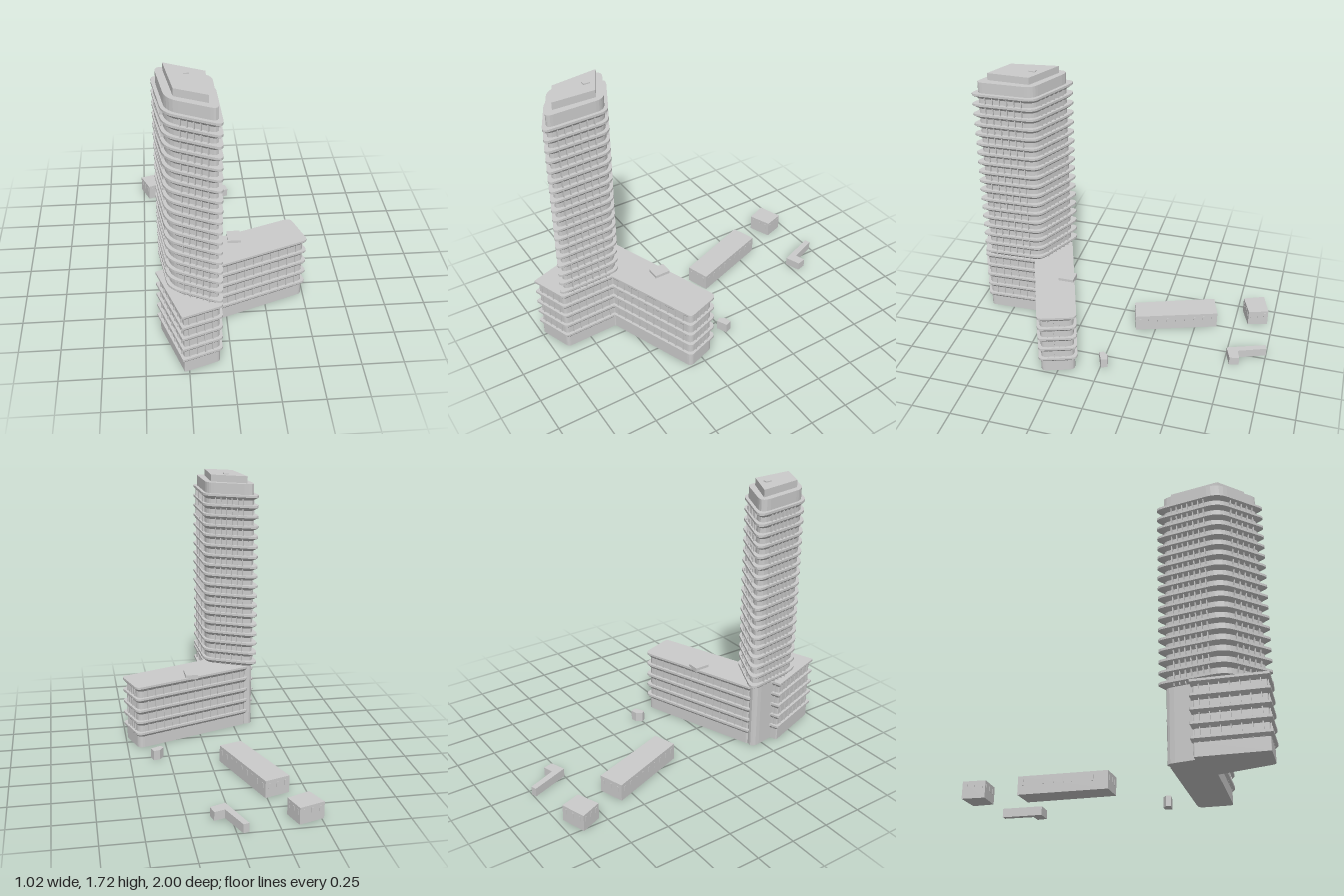
import * as THREE from 'three';
import { mergeGeometries } from 'three/addons/utils/BufferGeometryUtils.js';

const material = new THREE.MeshStandardMaterial({ color: 0xcccccc, flatShading: true });
const area = (p) => p.reduce((s, a, i) => {
  const b = p[(i + 1) % p.length];
  return s + a[0] * b[1] - b[0] * a[1];
}, 0) / 2;

// Footprints: corners as [x, z, rounding]
const TOWER = [[-0.417, 0.357, 0.085], [-0.065, 0.527, 0.05], [-0.05, 0.937, 0.05], [-0.355, 0.782, 0.07]];
const PENTHOUSE = [[-0.34, 0.455], [-0.12, 0.57], [-0.12, 0.835], [-0.295, 0.75]];
const PODIUM = [[-0.33, 0.414, 0.01], [0.425, 0.145, 0.04], [0.495, 0.348, 0.03], [-0.08, 0.565, 0.006],
  [-0.068, 0.908, 0.02], [-0.277, 0.983, 0.008], [-0.407, 0.603, 0.008], [-0.35, 0.583, 0.01]];
const OUTBUILDINGS = [
  { name: 'squareOutbuilding', h: 0.105, windows: [3, 4, 3, 4], pts: [[-0.515, -0.915], [-0.36, -0.965], [-0.32, -0.84], [-0.46, -0.785]] },
  { name: 'longOutbuilding', h: 0.11, windows: [3, 9, 3, 9], pts: [[-0.395, -0.59], [-0.24, -0.64], [-0.06, -0.125], [-0.205, -0.08]] },
  { name: 'angledShed', h: 0.055, pts: [[-0.07, -0.99], [-0.035, -1], [0.035, -0.825], [0.1, -0.845], [0.115, -0.785], [0.02, -0.75]] },
  { name: 'smallShed', h: 0.065, pts: [[0.285, 0], [0.31, -0.035], [0.35, -0.045], [0.365, -0.005], [0.3, 0.025]] },
];

// Offsets a footprint outward by d and rounds its corners
function ring(corners, d = 0) {
  const pts = area(corners) < 0 ? [...corners].reverse() : corners;
  const n = pts.length;
  const normal = (a, b) => new THREE.Vector2(b[1] - a[1], a[0] - b[0]).normalize();
  const moved = pts.map((p, i) => {
    const n1 = normal(pts[(i + n - 1) % n], p), n2 = normal(p, pts[(i + 1) % n]);
    const m = n1.clone().add(n2).multiplyScalar(d / (1 + n1.dot(n2)));
    return new THREE.Vector2(p[0] + m.x, p[1] + m.y);
  });
  const out = [];
  moved.forEach((p, i) => {
    const r = pts[i][2];
    if (!r) { out.push([p.x, p.y]); return; }
    const toward = (q) => p.clone().add(q.clone().sub(p).setLength(r));
    const curve = new THREE.QuadraticBezierCurve(toward(moved[(i + n - 1) % n]), p, toward(moved[(i + 1) % n]));
    curve.getPoints(5).forEach((v) => out.push([v.x, v.y]));
  });
  return out;
}

// Closed solid through footprint rings given as [y, offset]
function loft(corners, levels) {
  const rings = levels.map(([, d]) => ring(corners, d));
  const n = rings[0].length, pos = [], idx = [];
  rings.forEach((r, k) => r.forEach(([x, z]) => pos.push(x, levels[k][0], z)));
  for (let k = 0; k < rings.length - 1; k++) {
    for (let i = 0; i < n; i++) {
      const a = k * n + i, b = k * n + (i + 1) % n;
      idx.push(a, a + n, b + n, a, b + n, b);
    }
  }
  const last = (rings.length - 1) * n;
  const caps = [[0, rings[0], true], [last, rings[rings.length - 1], false]];
  for (const [base, r, down] of caps) {
    for (const [a, b, c] of THREE.ShapeUtils.triangulateShape(r.map((p) => new THREE.Vector2(...p)), [])) {
      const positive = area([r[a], r[b], r[c]]) > 0;
      if (positive === down) idx.push(base + a, base + b, base + c);
      else idx.push(base + a, base + c, base + b);
    }
  }
  const g = new THREE.BufferGeometry();
  g.setAttribute('position', new THREE.Float32BufferAttribute(pos, 3));
  g.setIndex(idx);
  const flat = g.toNonIndexed();
  flat.computeVertexNormals();
  return flat;
}

// Thin boxes set along each footprint edge; count(length, edge) gives how many
function edgeBoxes(corners, y0, y1, width, depth, count) {
  const pts = area(corners) < 0 ? [...corners].reverse() : corners;
  const boxes = [];
  pts.forEach((a, i) => {
    const b = pts[(i + 1) % pts.length];
    const dx = b[0] - a[0], dz = b[1] - a[1];
    const ra = a[2] || 0, rb = b[2] || 0, len = Math.hypot(dx, dz);
    const num = count(len, i);
    for (let k = 0; k < num; k++) {
      const t = (ra + (len - ra - rb) * (k + 0.5) / num) / len;
      const g = new THREE.BoxGeometry(width, y1 - y0, depth);
      g.rotateY(-Math.atan2(dz, dx));
      g.translate(a[0] + dx * t, (y0 + y1) / 2, a[1] + dz * t);
      boxes.push(g);
    }
  });
  return mergeGeometries(boxes);
}

export function createModel() {
  const model = new THREE.Group();
  const add = (name, geometry, parent = model) => {
    const mesh = new THREE.Mesh(geometry, material);
    mesh.name = name;
    parent.add(mesh);
    return mesh;
  };
  const group = (name) => {
    const g = new THREE.Group();
    g.name = name;
    model.add(g);
    return g;
  };
  const box = (name, w, h, d, x, y, z, parent) =>
    add(name, new THREE.BoxGeometry(w, h, d), parent).position.set(x, y, z);

  // Stacked floor bands with a vertical lip and a sloping underside
  const bands = (name, corners, inner, outer, top, pitch, count, parent) => {
    const g = loft(corners, [[-0.036, inner], [-0.014, outer], [0, outer]]);
    for (let i = 0; i < count; i++) add(name, g, parent).position.y = top - i * pitch;
  };

  // Tower: plain shaft, window posts, floor bands, stepped roof
  const tower = group('tower');
  add('towerShaft', loft(TOWER, [[0, -0.02], [1.67, -0.02]]), tower);
  const wall = TOWER.map(([x, z, r]) => [x + (-0.22 - x) * 0.085, z + (0.65 - z) * 0.085, r]);
  add('towerWindowPosts', edgeBoxes(wall, 0.43, 1.58, 0.006, 0.014, (l) => Math.round(l / 0.06)), tower);
  bands('towerFloorBand', TOWER, -0.02, 0, 1.6, 0.0667, 18, tower);
  add('penthouse', loft(PENTHOUSE, [[1.67, 0], [1.715, 0]]), tower);
  box('roofHatch', 0.03, 0.012, 0.04, -0.22, 1.716, 0.58, tower);

  // Podium: two wings around the tower foot
  const podium = group('podium');
  add('podiumBase', loft(PODIUM, [[0, 0], [0.08, 0]]), podium);
  add('podiumWall', loft(PODIUM, [[0.08, -0.003], [0.42, -0.003]]), podium);
  add('podiumWindowPosts', edgeBoxes(PODIUM, 0.08, 0.42, 0.006, 0.008, (l) => Math.round(l / 0.06)), podium);
  bands('podiumFloorBand', PODIUM, -0.003, 0.015, 0.43, 0.08, 5, podium);
  box('roofPlantBox', 0.08, 0.03, 0.1, 0.06, 0.433, 0.305, podium);

  // Separate low buildings, two of them with narrow windows
  for (const { name, h, pts, windows } of OUTBUILDINGS) {
    const building = group(name);
    add('walls', loft(pts, [[0, 0], [h, 0]]), building);
    if (windows) {
      const frames = edgeBoxes(pts, 0.055, 0.088, 0.012, 0.005, (l) => (l > 0.3 ? windows[1] : windows[0]));
      add('windows', frames, building);
    }
  }
  return model;
}
